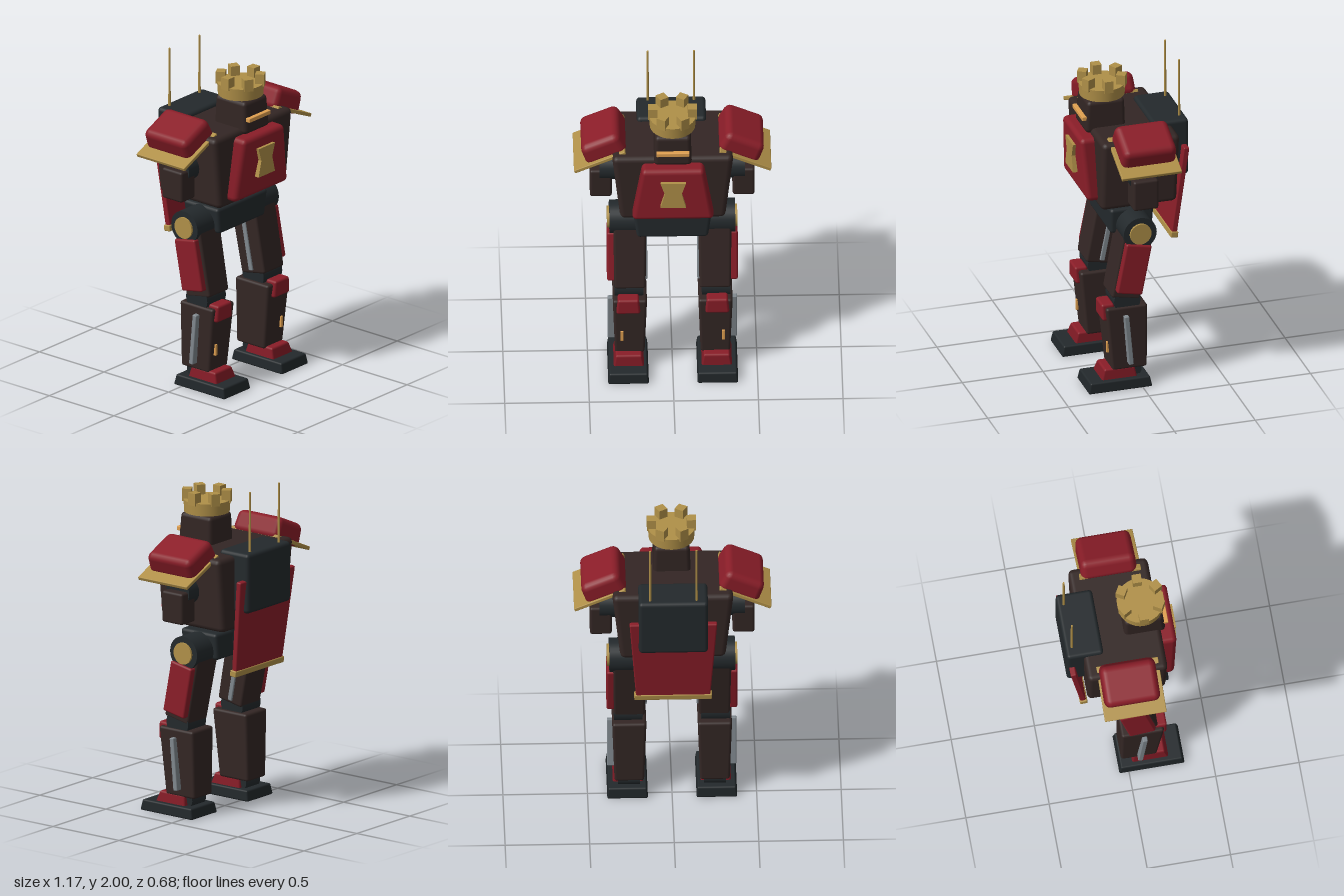
import * as THREE from 'three';
import { RoundedBoxGeometry } from 'three/addons/geometries/RoundedBoxGeometry.js';

const mat = (color) => new THREE.MeshStandardMaterial({ color });
const BROWN = mat(0x33262400 >> 8), RED = mat(0x8a1d28), GOLD = mat(0xb09048);
const DARK = mat(0x23292c), SILVER = mat(0x80888e), GLOW = mat(0xe0a050);

export function createModel() {
  const model = new THREE.Group();

  function add(parent, name, geo, material, pos, rot = [0, 0, 0]) {
    const mesh = new THREE.Mesh(geo, material);
    mesh.name = name;
    mesh.position.set(...pos);
    mesh.rotation.set(...rot);
    parent.add(mesh);
    return mesh;
  }

  // Rounded box; top = [x scale, z scale, z shift] of its upper end relative to the lower end
  function block(parent, name, material, size, pos, { r = 0.015, top = [1, 1, 0], rot } = {}) {
    const [w, h, d] = size;
    const geo = new RoundedBoxGeometry(w, h, d, 2, r);
    const p = geo.attributes.position;
    for (let i = 0; i < p.count; i++) {
      const t = p.getY(i) / h + 0.5;
      p.setX(i, p.getX(i) * (1 + (top[0] - 1) * t));
      p.setZ(i, p.getZ(i) * (1 + (top[1] - 1) * t) + top[2] * t);
    }
    return add(parent, name, geo, material, pos, rot);
  }

  // Cylinder lying along x
  const axle = (parent, name, material, radius, length, pos) =>
    add(parent, name, new THREE.CylinderGeometry(radius, radius, length, 32), material, pos, [0, 0, Math.PI / 2]);

  // Torso and chest
  block(model, 'torso', BROWN, [0.62, 0.455, 0.47], [0, 1.385, 0], { r: 0.03, top: [1.16, 1.02, 0] });
  block(model, 'chestPlate', RED, [0.49, 0.385, 0.12], [0, 1.388, 0.24], { r: 0.03, top: [0.74, 1, 0.025] });
  const badge = new THREE.Shape([
    [-0.075, 0.09], [-0.05, 0.01], [-0.075, -0.09], [0.075, -0.09], [0.05, 0.01], [0.075, 0.09],
  ].map(([x, y]) => new THREE.Vector2(x, y)));
  add(model, 'chestBadge', new THREE.ExtrudeGeometry(badge, { depth: 0.035, bevelEnabled: false }),
    GOLD, [0, 1.41, 0.303]);

  // Head and crown
  block(model, 'head', BROWN, [0.225, 0.2, 0.25], [0, 1.68, 0.145], { r: 0.025, top: [0.93, 0.92, -0.005] });
  block(model, 'visor', GLOW, [0.195, 0.026, 0.03], [0, 1.673, 0.272], { r: 0.004 });
  const crown = new THREE.Group();
  crown.name = 'crown';
  crown.position.set(0, 1.785, 0.135);
  model.add(crown);
  add(crown, 'crownBand', new THREE.CylinderGeometry(0.14, 0.135, 0.075, 32), GOLD, [0, 0.0375, 0]);
  for (let i = 0; i < 6; i++) {
    const a = i * Math.PI / 3;
    add(crown, 'crownPoint', new THREE.BoxGeometry(0.055, 0.075, 0.055), GOLD,
      [0.118 * Math.cos(a), 0.098, -0.118 * Math.sin(a)], [0, a, 0]);
  }

  // Backpack and hanging cape
  block(model, 'backpack', DARK, [0.41, 0.365, 0.22], [0, 1.453, -0.23], { r: 0.022 });
  const capeTilt = [-0.115, 0, 0];
  block(model, 'cape', RED, [0.44, 0.57, 0.035], [0, 1.19, -0.278], { r: 0.008, top: [1.18, 1, 0], rot: capeTilt });
  block(model, 'capeTrim', GOLD, [0.46, 0.038, 0.045], [0, 0.897, -0.244], { r: 0.006, rot: capeTilt });

  // Waist and pelvis
  add(model, 'waistBand', new THREE.CylinderGeometry(0.155, 0.155, 0.03, 32), GOLD, [0, 1.15, 0]);
  add(model, 'waist', new THREE.CylinderGeometry(0.14, 0.14, 0.12, 32), DARK, [0, 1.09, 0.005]);
  block(model, 'pelvis', DARK, [0.42, 0.165, 0.26], [0, 1.032, 0.018], { r: 0.02, top: [1.1, 1.04, 0] });

  for (const s of [1, -1]) {
    const side = s > 0 ? 'left' : 'right';

    // Antenna
    add(model, side + 'Antenna', new THREE.CylinderGeometry(0.006, 0.008, 0.4, 10), GOLD, [s * 0.137, 1.8, -0.3]);

    // Shoulder armour and stub arm
    const arm = new THREE.Group();
    arm.name = side + 'Arm';
    model.add(arm);
    const slope = [0, 0, -s * 0.42];
    block(arm, 'shoulderTrim', GOLD, [0.33, 0.022, 0.37], [s * 0.43, 1.55, 0.006], { r: 0.004, rot: slope });
    block(arm, 'shoulderPad', RED, [0.265, 0.14, 0.34], [s * 0.411, 1.615, 0], { r: 0.04, top: [0.92, 0.96, 0], rot: slope });
    axle(arm, 'armJoint', DARK, 0.087, 0.15, [s * 0.355, 1.398, 0.012]);
    block(arm, 'armStub', BROWN, [0.13, 0.192, 0.155], [s * 0.422, 1.312, 0.012], { r: 0.015 });

    // Hip and thigh, leaning forward at the knee
    const leg = new THREE.Group();
    leg.name = side + 'Leg';
    model.add(leg);
    axle(leg, 'hipJoint', DARK, 0.102, 0.17, [s * 0.287, 1.01, 0.014]);
    axle(leg, 'hipCap', GOLD, 0.066, 0.03, [s * 0.37, 1.01, 0.014]);
    const thighTilt = [-0.19, 0, 0];
    block(leg, 'thigh', BROWN, [0.185, 0.45, 0.18], [s * 0.252, 0.8, 0.052], { top: [1.06, 1.05, 0], rot: thighTilt });
    block(leg, 'thighPlate', RED, [0.05, 0.32, 0.16], [s * 0.362, 0.782, 0.053], { r: 0.012, rot: thighTilt });
    block(leg, 'thighPiston', SILVER, [0.025, 0.32, 0.03], [s * 0.16, 0.755, 0.055], { r: 0.006, rot: thighTilt });

    // Knee and shin
    axle(leg, 'kneeJoint', DARK, 0.082, 0.17, [s * 0.258, 0.565, 0.085]);
    block(leg, 'kneePad', RED, [0.145, 0.105, 0.09], [s * 0.263, 0.497, 0.19], { top: [0.86, 0.85, 0.01] });
    block(leg, 'shin', BROWN, [0.175, 0.415, 0.215], [s * 0.253, 0.322, 0.068], { top: [1.16, 1.2, 0.022] });
    block(leg, 'shinPiston', SILVER, [0.05, 0.32, 0.03], [s * 0.358, 0.318, 0.085], { r: 0.006, rot: [0.09, 0, 0] });
    block(leg, 'shinLight', GLOW, [0.018, 0.07, 0.03], [s * 0.3, 0.258, 0.188], { r: 0.003 });

    // Foot
    axle(leg, 'ankle', DARK, 0.05, 0.13, [s * 0.255, 0.095, 0.04]);
    block(leg, 'footGuard', RED, [0.185, 0.075, 0.225], [s * 0.26, 0.09, 0.135], { r: 0.012, top: [0.82, 0.82, -0.005] });
    block(leg, 'foot', DARK, [0.243, 0.066, 0.395], [s * 0.264, 0.033, 0.138], { r: 0.01, top: [0.93, 0.93, 0] });
  }

  return model;
}
